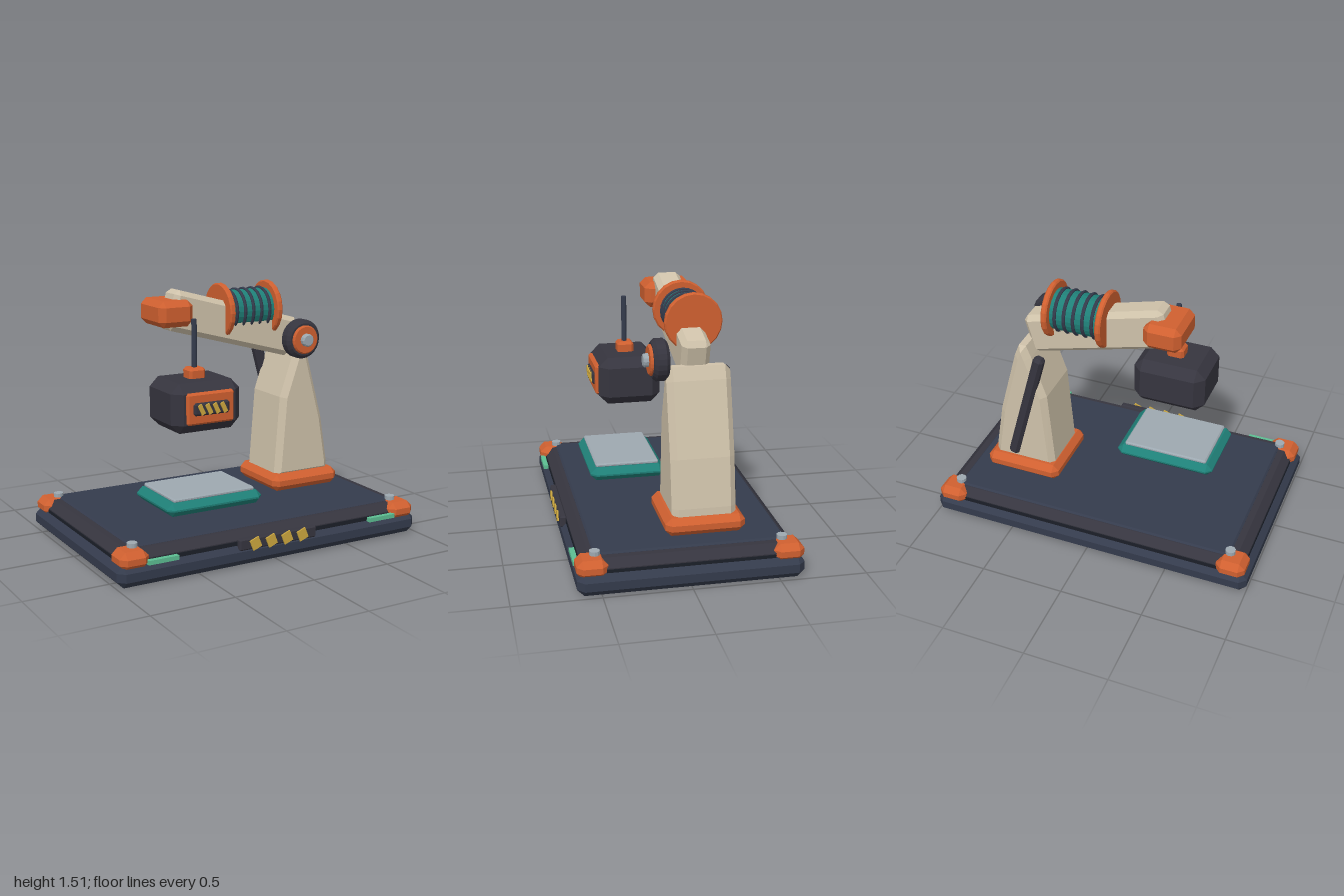
import * as THREE from 'three';
import { ConvexGeometry } from 'three/addons/geometries/ConvexGeometry.js';

const mat = (name, color) => {
  const m = new THREE.MeshStandardMaterial({ color, flatShading: true });
  m.name = name;
  return m;
};

export function createModel() {
  const navy = mat('navy', 0x343b4c), charcoal = mat('charcoal', 0x36353f), black = mat('black', 0x1b1f28);
  const orange = mat('orange', 0xd06030), beige = mat('beige', 0xcfc2aa), teal = mat('teal', 0x1f8078);
  const steel = mat('steel', 0x9da8b0), yellow = mat('yellow', 0xcda83f), green = mat('green', 0x5cbd92);

  const model = new THREE.Group();
  const add = (name, geometry, material, x = 0, y = 0, z = 0, parent = model) => {
    const mesh = new THREE.Mesh(geometry, material);
    mesh.name = name;
    mesh.position.set(x, y, z);
    parent.add(mesh);
    return mesh;
  };

  // Box with every edge cut at 45 degrees
  const chamferBox = (w, h, d, c) => {
    const pts = [];
    for (const sx of [-1, 1]) for (const sy of [-1, 1]) for (const sz of [-1, 1]) {
      const x = sx * w / 2, y = sy * h / 2, z = sz * d / 2;
      pts.push(new THREE.Vector3(x, y - sy * c, z - sz * c));
      pts.push(new THREE.Vector3(x - sx * c, y, z - sz * c));
      pts.push(new THREE.Vector3(x - sx * c, y - sy * c, z));
    }
    return new ConvexGeometry(pts);
  };
  // Disc with chamfered rims, its axis along y
  const chamferDisc = (r, h, c, sides = 24) => new THREE.LatheGeometry([
    [0, -h / 2], [r - c, -h / 2], [r, -h / 2 + c], [r, h / 2 - c], [r - c, h / 2], [0, h / 2],
  ].map(p => new THREE.Vector2(...p)), sides);
  const box = (w, h, d) => new THREE.BoxGeometry(w, h, d);

  // Base: slab, rail body, deck
  const bz = -0.005;
  add('baseSlab', chamferBox(2, 0.13, 1.28, 0.04), navy, 0, 0.065, bz);
  add('railBody', chamferBox(1.92, 0.12, 1.21, 0.045), charcoal, 0, 0.135, bz);
  add('deck', chamferBox(1.75, 0.06, 1.09, 0.01), navy, 0, 0.176, bz - 0.01);
  for (const s of [-1, 1]) {
    add('longGroove', box(1.64, 0.025, 0.01), black, 0, 0.132, bz + s * 0.604);
    add('sideGroove', box(0.01, 0.025, 0.95), black, s * 0.959, 0.132, bz);
    add('lightStrip', box(0.185, 0.025, 0.03), green, s * 0.735, 0.132, 0.623);
    for (const t of [-1, 1]) {
      add('cornerBlock', chamferBox(0.175, 0.105, 0.175, 0.035), orange, s * 0.896, 0.148, bz + t * 0.552);
      add('cornerBolt', new THREE.CylinderGeometry(0.03, 0.03, 0.03, 12), steel, s * 0.873, 0.21, bz + t * 0.53);
    }
  }

  // Front hazard plaque
  add('plaque', chamferBox(0.515, 0.068, 0.04, 0.008), charcoal, 0, 0.13, 0.619);
  for (let i = 0; i < 4; i++) {
    add('plaqueMark', box(0.06, 0.064, 0.009), yellow, -0.158 + i * 0.105, 0.13, 0.6435).rotation.z = 0.38;
  }

  // Work pad
  add('pad', chamferBox(0.62, 0.08, 0.46, 0.035), teal, -0.275, 0.315, 0.185);
  add('padPlate', chamferBox(0.53, 0.025, 0.39, 0.008), steel, -0.275, 0.363, 0.185);

  // Column foot
  add('footPlate', box(0.38, 0.03, 0.33), navy, 0.545, 0.205, -0.125);
  add('columnFoot', chamferBox(0.475, 0.105, 0.46, 0.035), orange, 0.545, 0.264, -0.125);

  // Tapered column, extruded front to back with beveled edges
  const bevel = 0.035;
  const profile = new THREE.Shape([
    [0.345, 0.29], [0.742, 0.29], [0.738, 0.36], [0.692, 0.64], [0.58, 1.06], [0.55, 1.135],
    [0.505, 1.135], [0.475, 1.06], [0.385, 0.8],
  ].map(p => new THREE.Vector2(...p)));
  add('column', new THREE.ExtrudeGeometry(profile, {
    depth: 0.37 - 2 * bevel, bevelEnabled: true, bevelSegments: 1,
    bevelThickness: bevel, bevelSize: bevel, bevelOffset: -bevel,
  }), beige, 0, 0, -0.31 + bevel);

  // Slanted strut behind the column
  add('strut', chamferBox(0.065, 0.78, 0.07, 0.018), charcoal, 0.51, 0.715, -0.3).rotation.z = 0.265;

  // Arm
  add('arm', chamferBox(0.89, 0.245, 0.165, 0.03), beige, 0.105, 1.268, -0.113).rotation.z = -0.265;

  // Elbow wheel
  const wheel = new THREE.Group();
  wheel.name = 'elbowWheel';
  wheel.position.set(0.49, 1.168, 0);
  wheel.rotation.x = Math.PI / 2;
  model.add(wheel);
  add('tyre', chamferDisc(0.12, 0.09, 0.02), charcoal, 0, 0.09, 0, wheel);
  add('hub', chamferDisc(0.088, 0.03, 0.008), orange, 0, 0.137, 0, wheel);
  add('hubBolt', chamferDisc(0.04, 0.04, 0.008, 12), steel, 0, 0.162, 0, wheel);

  // Drum around the arm
  const drum = new THREE.Group();
  drum.name = 'drum';
  drum.position.set(0.213, 1.345, -0.13);
  drum.rotation.z = -Math.PI / 2;
  model.add(drum);
  add('drumCore', new THREE.CylinderGeometry(0.122, 0.122, 0.31, 24), teal, 0, 0, 0, drum);
  for (const s of [-1, 1]) add('drumFlange', chamferDisc(0.168, 0.036, 0.008, 20), orange, 0, s * 0.165, 0, drum);
  for (let i = -2; i <= 2; i++) {
    add('drumRing', new THREE.TorusGeometry(0.123, 0.011, 6, 24), navy, 0, i * 0.057, 0, drum).rotation.x = Math.PI / 2;
  }

  // Arm head and hanging rod
  add('armHead', chamferBox(0.225, 0.155, 0.3, 0.035), orange, -0.32, 1.365, -0.12);
  add('rod', new THREE.CylinderGeometry(0.016, 0.016, 0.3, 10), navy, -0.283, 1.204, 0.152);

  // Tool block with its front panel
  const tool = new THREE.Group();
  tool.name = 'tool';
  tool.position.set(-0.283, 0.87, 0.15);
  model.add(tool);
  add('toolCap', chamferBox(0.105, 0.085, 0.1, 0.015), orange, 0, 0.163, 0, tool);
  add('toolBody', chamferBox(0.445, 0.29, 0.375, 0.055), charcoal, 0, 0, 0, tool);
  add('toolPanel', chamferBox(0.305, 0.185, 0.04, 0.012), orange, 0, 0.003, 0.186, tool);
  add('toolSlot', chamferBox(0.23, 0.075, 0.03, 0.012), charcoal, 0, 0.003, 0.205, tool);
  for (let i = 0; i < 4; i++) {
    add('toolMark', box(0.026, 0.062, 0.009), yellow, -0.072 + i * 0.048, 0.003, 0.222, tool).rotation.z = 0.45;
  }

  return model;
}
